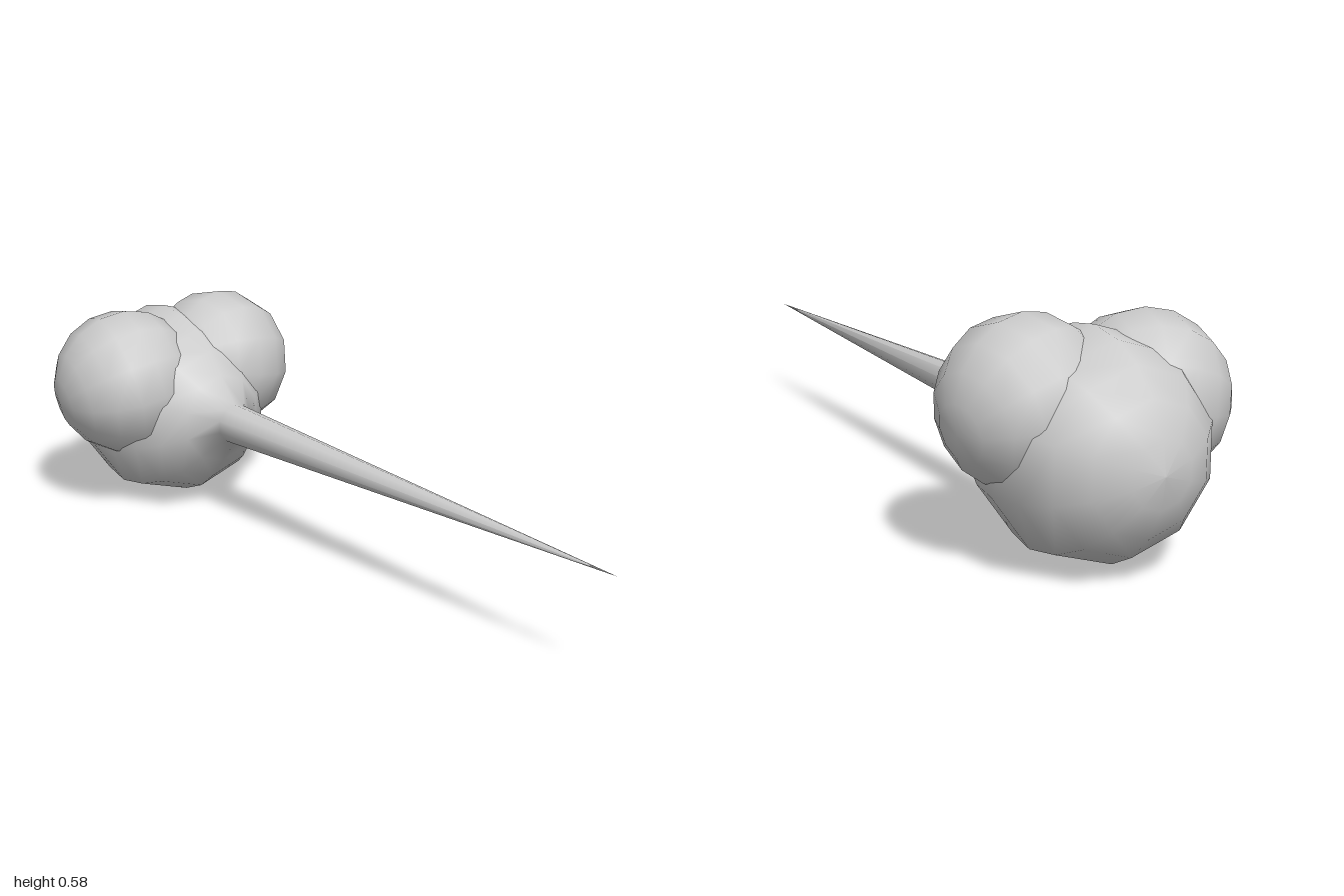
import * as THREE from 'three';

const material = new THREE.MeshStandardMaterial({ color: 0xcccccc });

export function createModel() {
  const group = new THREE.Group();

  // Ten-sided round body drawn out into one long needle along +x: [radius, x]
  const profile = [
    [0, -1], [0.08, -0.987], [0.157, -0.945], [0.218, -0.885],
    [0.258, -0.81], [0.275, -0.72], [0.262, -0.635], [0.232, -0.56],
    [0.185, -0.5], [0.125, -0.45], [0.055, -0.39], [0, 1],
  ].map(([r, x]) => new THREE.Vector2(r, x));
  const bodyGeometry = new THREE.LatheGeometry(profile, 10, Math.PI / 2);
  bodyGeometry.rotateZ(-Math.PI / 2);
  const body = new THREE.Mesh(bodyGeometry, material);
  body.name = 'bodyWithNeedle';
  body.position.set(0, 0.275, -0.01);
  group.add(body);

  // Two round eyes set into the upper sides
  const eyes = [
    ['frontEye', -0.69, 0.36, 0.147, 0.2],
    ['backEye', -0.66, 0.375, -0.15, -0.2],
  ];
  for (const [name, x, y, z, tilt] of eyes) {
    const eye = new THREE.Mesh(new THREE.SphereGeometry(0.206, 12, 9), material);
    eye.name = name;
    eye.position.set(x, y, z);
    eye.rotation.set(Math.PI / 2 + tilt, 0, tilt);
    group.add(eye);
  }
  return group;
}
